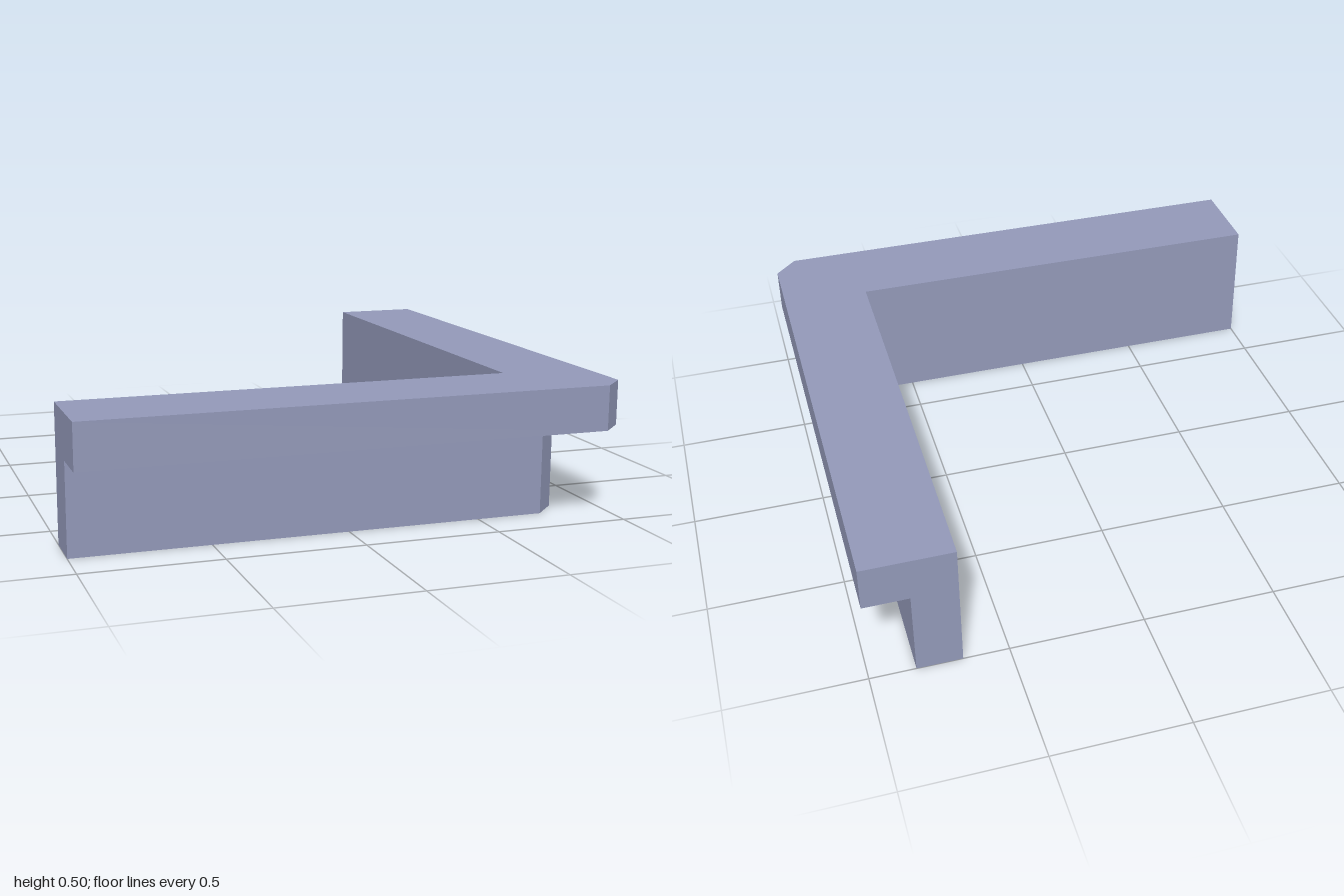
import * as THREE from 'three';

const INNER = 0.667, END = -1, CHAMFER = 0.083;

// L-shaped plan with a chamfered outer corner, extruded upwards
function cornerRun(name, outer, bottom, top, material) {
  const plan = [
    [END, INNER], [END, outer], [outer - CHAMFER, outer],
    [outer, outer - CHAMFER], [outer, END], [INNER, END], [INNER, INNER],
  ];
  const shape = new THREE.Shape(plan.map(([x, z]) => new THREE.Vector2(x, -z)));
  const geometry = new THREE.ExtrudeGeometry(shape, { depth: top - bottom, bevelEnabled: false });
  geometry.rotateX(-Math.PI / 2);
  geometry.translate(0, bottom, 0);
  const mesh = new THREE.Mesh(geometry, material);
  mesh.name = name;
  return mesh;
}

export function createModel() {
  const stone = new THREE.MeshStandardMaterial({ color: 0x9399b9 });
  stone.name = 'blue grey';

  const group = new THREE.Group();
  group.name = 'cornerTrim';
  // Upright wall, then the wider ledge overhanging its outer side
  group.add(cornerRun('wall', 0.833, 0, 0.335, stone));
  group.add(cornerRun('ledge', 1, 0.335, 0.5, stone));
  return group;
}
